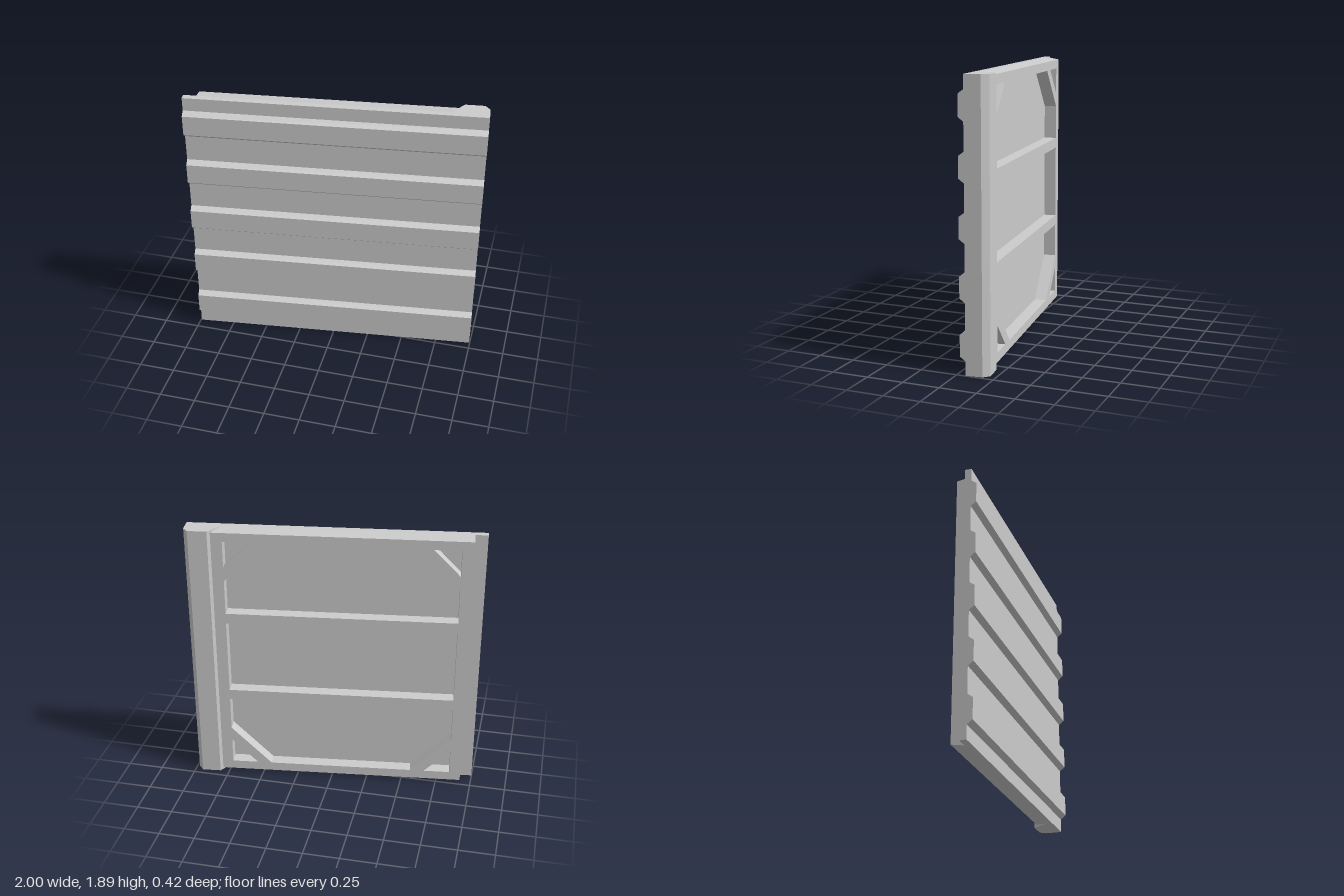
import * as THREE from 'three';

const H = 1.89;             // panel height
const X0 = -1.008, X1 = 0.996; // panel ends
const FRONT = 0.057, FLOOR = 0.012, BACK = -0.076; // skin front, skin back, frame back

const material = new THREE.MeshStandardMaterial({ color: 0xcccccc, flatShading: true });

const toShape = (pts) => new THREE.Shape(pts.map(([x, y]) => new THREE.Vector2(x, y)));
const extrude = (shape, depth) => new THREE.ExtrudeGeometry(shape, { depth, bevelEnabled: false });

function addMesh(group, name, geometry) {
  const mesh = new THREE.Mesh(geometry, material);
  mesh.name = name;
  group.add(mesh);
  return mesh;
}

export function createModel() {
  const model = new THREE.Group();
  model.name = 'ribbedPanel';
  const panel = new THREE.Group();
  panel.name = 'panel';
  panel.rotation.y = 0.1173;
  model.add(panel);

  // Skin with the overlapping lip on one end and the chamfered post on the other
  const plan = [
    [X0, FRONT], [X1, FRONT], [X1, -0.054], [0.963, -0.098], [0.832, -0.098],
    [0.815, BACK], [0.753, FLOOR], [X0, FLOOR],
  ].map(([x, z]) => [x, -z]);
  addMesh(panel, 'skinAndPost', extrude(toShape(plan), H).rotateX(-Math.PI / 2));

  // Back frame: three bays, with the outer corners cut off by diagonal braces
  const L = -0.843, R = 0.738, margin = 0.079, bar = 0.075;
  const bay = (H - 2 * margin - 2 * bar) / 3;
  const cut = 0.285, leg = 0.185;
  const frame = toShape([[-0.921, 0], [0.815, 0], [0.815, H], [-0.921, H]]);
  const addHole = (pts) => frame.holes.push(toShape(pts));

  const midLow = margin + bay + bar;
  addHole([[L, midLow], [R, midLow], [R, midLow + bay], [L, midLow + bay]]);
  for (const flip of [false, true]) {
    const fy = (y) => (flip ? H - y : y);
    const top = margin + bay;
    addHole([[L + cut, margin], [R - cut, margin], [R, margin + cut], [R, top], [L, top], [L, margin + cut]]
      .map(([x, y]) => [x, fy(y)]));
    for (const [x, s] of [[L, 1], [R, -1]]) {
      addHole([[x, margin], [x + s * leg, margin], [x, margin + leg]].map(([px, y]) => [px, fy(y)]));
    }
  }
  const frameGeometry = extrude(frame, FLOOR - BACK).translate(0, 0, BACK);
  // Slope the frame's top and bottom slightly inward towards the back
  const pos = frameGeometry.attributes.position;
  for (let i = 0; i < pos.count; i++) {
    if (pos.getZ(i) > BACK + 0.01) continue;
    if (pos.getY(i) < 0.001) pos.setY(i, 0.015);
    else if (pos.getY(i) > H - 0.001) pos.setY(i, H - 0.015);
  }
  frameGeometry.computeVertexNormals();
  addMesh(panel, 'backFrame', frameGeometry);

  // Five horizontal trapezoid ribs across the front
  const ribShape = toShape([[-FRONT, 0], [-FRONT, 0.195], [-0.093, 0.168], [-0.093, 0.028]]);
  const ribGeometry = extrude(ribShape, X1 - X0).rotateY(Math.PI / 2);
  for (let i = 0; i < 5; i++) {
    addMesh(panel, `rib${i + 1}`, ribGeometry).position.set(X0, 0.095 + i * 0.377, 0);
  }

  return model;
}
